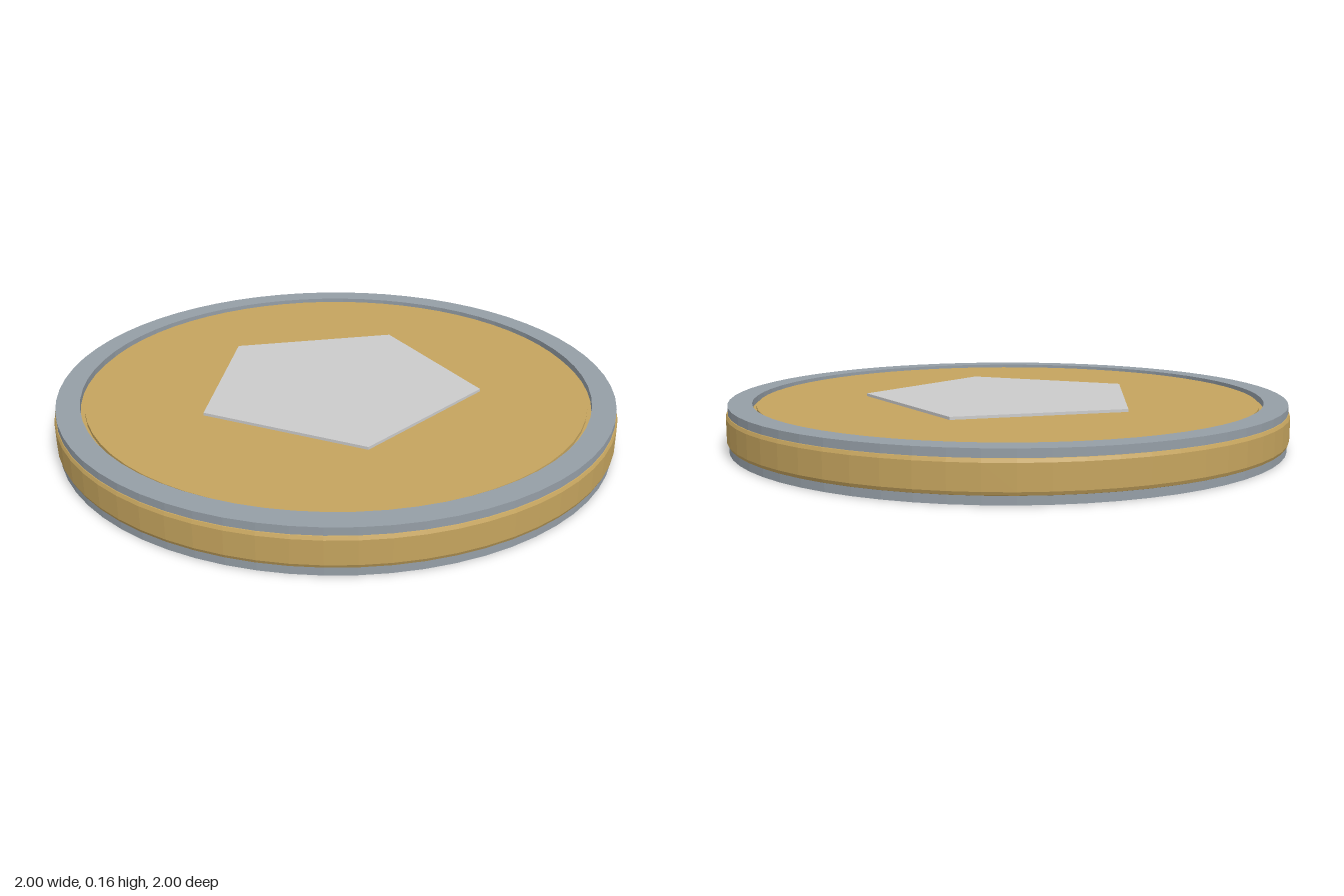
import * as THREE from 'three';

const SEG = 64;
const MID = 0.08; // half of the total height

const gold = new THREE.MeshStandardMaterial({ color: 0xc5a45e, flatShading: true });
const steel = new THREE.MeshStandardMaterial({ color: 0x959ea6, flatShading: true });
const silver = new THREE.MeshStandardMaterial({ color: 0xcccccc, flatShading: true });

function add(parent, name, geometry, material, x = 0, y = 0, z = 0) {
  const mesh = new THREE.Mesh(geometry, material);
  mesh.name = name;
  mesh.position.set(x, y, z);
  parent.add(mesh);
  return mesh;
}

const lathe = (points) =>
  new THREE.LatheGeometry(points.map(([r, y]) => new THREE.Vector2(r, y)), SEG);

export function createModel() {
  const coin = new THREE.Group();
  coin.name = 'coin';

  // Body with a small rounded edge
  add(coin, 'body', lathe([
    [0, 0.023], [0.984, 0.023], [0.995, 0.028], [1, 0.039],
    [1, 0.121], [0.995, 0.132], [0.984, 0.137], [0, 0.137],
  ]), gold);

  // Raised rim and inset face disc on both sides
  for (const [side, s] of [['top', 1], ['bottom', -1]]) {
    const rim = [[0.91, -0.014], [0.993, -0.014], [0.993, 0.014], [0.91, 0.014], [0.91, -0.014]];
    add(coin, side + 'Rim', lathe(rim), steel, 0, MID + s * 0.066);
    add(coin, side + 'Face', new THREE.CylinderGeometry(0.895, 0.895, 0.02, SEG), gold, 0, MID + s * 0.06);
  }

  // Five-sided emblem on the top, one corner towards the back
  const pentagon = add(coin, 'pentagonEmblem',
    new THREE.CylinderGeometry(0.52, 0.52, 0.02, 5), silver, 0, 0.15);
  pentagon.rotation.y = Math.PI;

  // Three parallel bars on the underside
  for (const i of [-1, 0, 1]) {
    add(coin, 'bar', new THREE.BoxGeometry(0.155, 0.02, 0.905), silver, i * 0.357, 0.01);
  }

  return coin;
}
